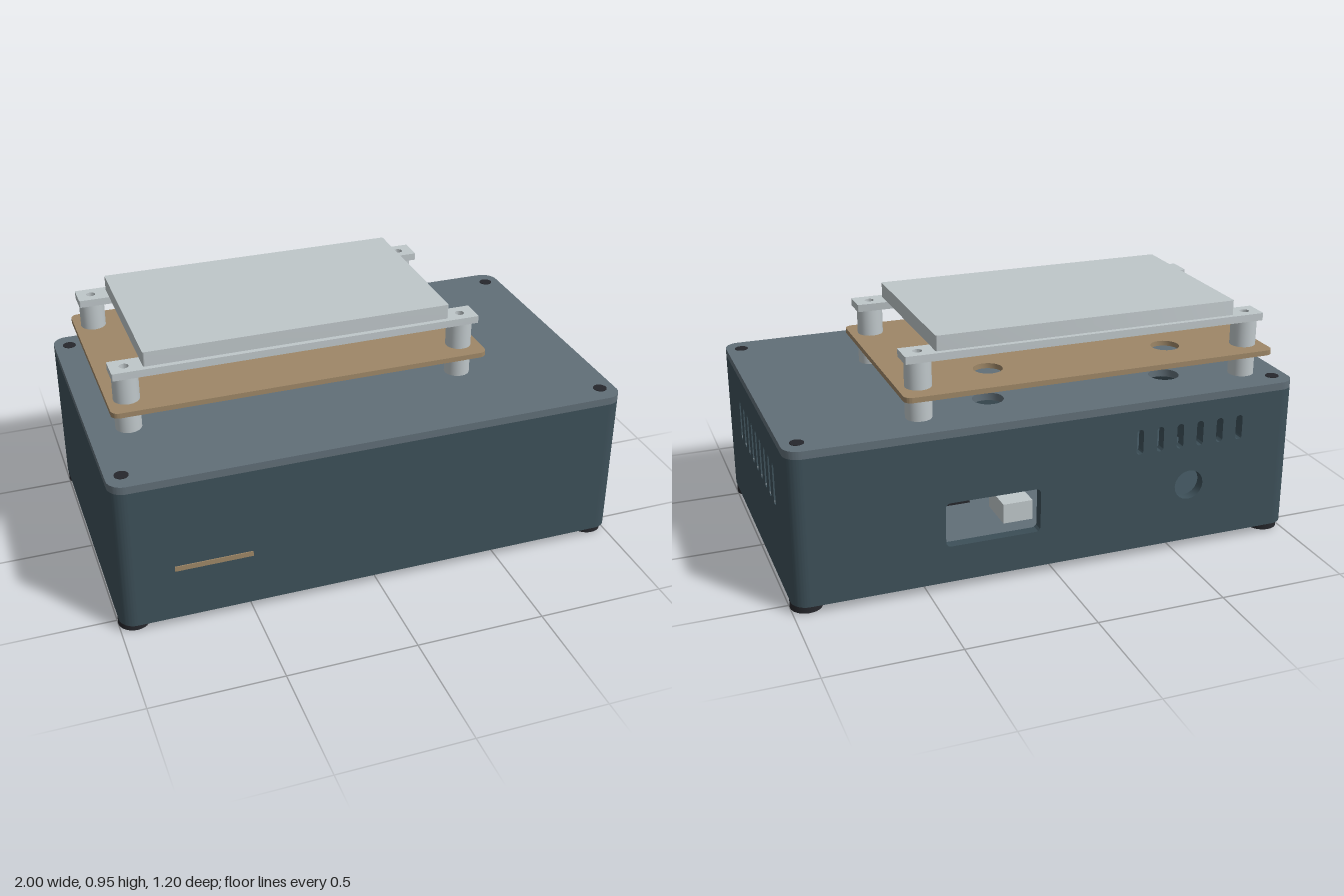
import * as THREE from 'three';
import { toCreasedNormals } from 'three/addons/utils/BufferGeometryUtils.js';

const mat = (name, color) => Object.assign(new THREE.MeshStandardMaterial({ color }), { name });

// Closed rounded rectangle, used both as outline and as hole
function roundRect(x0, y0, x1, y1, r, Type = THREE.Shape) {
  const s = new Type();
  s.moveTo(x0 + r, y0);
  s.lineTo(x1 - r, y0);
  s.absarc(x1 - r, y0 + r, r, -Math.PI / 2, 0, false);
  s.lineTo(x1, y1 - r);
  s.absarc(x1 - r, y1 - r, r, 0, Math.PI / 2, false);
  s.lineTo(x0 + r, y1);
  s.absarc(x0 + r, y1 - r, r, Math.PI / 2, Math.PI, false);
  s.lineTo(x0, y0 + r);
  s.absarc(x0 + r, y0 + r, r, Math.PI, Math.PI * 1.5, false);
  return s;
}

function roundHole(x, y, r) {
  const p = new THREE.Path();
  p.absarc(x, y, r, 0, Math.PI * 2, false);
  return p;
}

const slot = (u, y0, y1, w) => roundRect(u - w / 2, y0, u + w / 2, y1, w * 0.499, THREE.Path);

function extrude(shape, depth) {
  return new THREE.ExtrudeGeometry(shape, { depth, bevelEnabled: false, curveSegments: 10 });
}

export function createModel() {
  const model = new THREE.Group();
  model.name = 'deviceEnclosure';
  const body = mat('slate body', 0x3d5059);
  const grey = mat('grey lid', 0x616f78);
  const silver = mat('silver', 0xbfc7ca);
  const tan = mat('tan board', 0x9e8767);
  const dark = mat('dark rubber', 0x26272c);

  function add(name, geometry, material, x = 0, y = 0, z = 0) {
    const mesh = new THREE.Mesh(toCreasedNormals(geometry, 0.6), material);
    mesh.name = name;
    mesh.position.set(x, y, z);
    model.add(mesh);
    return mesh;
  }
  // Horizontal slab from a plan shape whose second coordinate is -z
  const slab = (name, shape, y0, y1, material) =>
    add(name, extrude(shape, y1 - y0).rotateX(-Math.PI / 2), material, 0, y0, 0);
  const disc = (name, x, y, z, r, h, material) =>
    add(name, new THREE.CylinderGeometry(r, r, h, 28), material, x, y, z);
  const box = (name, x0, x1, y0, y1, z0, z1, material) =>
    add(name, new THREE.BoxGeometry(x1 - x0, y1 - y0, z1 - z0), material,
      (x0 + x1) / 2, (y0 + y1) / 2, (z0 + z1) / 2);

  // Hollow case: four walls, rounded corners and a floor
  const Y0 = 0.035, Y1 = 0.61, T = 0.04, R = 0.06;
  function wallShape(half, holes = []) {
    const s = new THREE.Shape();
    s.moveTo(-half, Y0);
    s.lineTo(half, Y0);
    s.lineTo(half, Y1);
    s.lineTo(-half, Y1);
    s.closePath();
    s.holes.push(...holes);
    return s;
  }
  const backHoles = [
    roundRect(0.06, 0.18, 0.43, 0.355, 0.02, THREE.Path),
    roundHole(-0.555, 0.27, 0.06),
  ];
  for (let i = 0; i < 6; i++) backHoles.push(slot(-0.34 - i * 0.084, 0.43, 0.53, 0.028));
  const sideHoles = [];
  for (let i = 0; i < 9; i++) sideHoles.push(slot(-0.28 + i * 0.08, 0.34, 0.505, 0.032));

  add('frontWall', extrude(wallShape(1 - R), T), body, 0, 0, 0.6 - T);
  add('backWall', extrude(wallShape(1 - R, backHoles), T), body, 0, 0, -0.6);
  add('ventedSideWall', extrude(wallShape(0.6 - R, sideHoles), T).rotateY(Math.PI / 2), body, 1 - T);
  add('plainSideWall', extrude(wallShape(0.6 - R), T).rotateY(Math.PI / 2), body, -1);

  for (let i = 0; i < 4; i++) {
    const sx = i === 0 || i === 3 ? 1 : -1;
    const sy = i < 2 ? 1 : -1;
    const a = i * Math.PI / 2, b = a + Math.PI / 2;
    const cx = sx * (1 - R), cy = sy * (0.6 - R);
    const s = new THREE.Shape();
    s.absarc(cx, cy, R, a, b, false);
    s.absarc(cx, cy, R - T, b, a, true);
    s.closePath();
    slab('caseCorner', s, Y0, Y1, body);
  }
  slab('caseFloor', roundRect(-0.96, -0.56, 0.96, 0.56, 0.02), Y0, 0.07, body);

  // Lid with two cable openings
  const cableHoles = [-0.55, 0.18];
  const lid = roundRect(-1, -0.6, 1, 0.6, R);
  cableHoles.forEach((x) => lid.holes.push(roundHole(x, 0.36, 0.06)));
  slab('lid', lid, Y1, 0.64, grey);

  // Feet and lid screws
  for (const x of [-0.94, 0.94]) {
    for (const z of [-0.52, 0.52]) {
      disc('foot', x, 0.02, z, 0.06, 0.04, dark);
      disc('lidScrew', x, 0.639, z, 0.026, 0.006, dark);
    }
  }

  // Indicator strip on the front
  box('indicatorStrip', -0.79, -0.495, 0.245, 0.265, 0.598, 0.604, tan);

  // Inner circuit board on posts, with base screws below
  for (const x of [-0.06, 0.82]) {
    for (const z of [-0.47, 0.16]) {
      disc('innerPost', x, 0.095, z, 0.035, 0.05, silver);
      disc('baseScrew', x, 0.034, z, 0.022, 0.006, grey);
    }
  }
  box('innerBoard', -0.11, 0.87, 0.12, 0.14, -0.52, 0.21, grey);
  box('innerPort', 0.02, 0.14, 0.14, 0.22, -0.42, -0.26, silver);
  box('innerChip', 0.2, 0.32, 0.14, 0.2, -0.2, -0.08, dark);

  // Raised board
  const board = roundRect(-0.92, -0.305, 0.555, 0.55, 0.03);
  cableHoles.forEach((x) => board.holes.push(roundHole(x, 0.36, 0.056)));
  slab('raisedBoard', board, 0.74, 0.76, tan);

  // Hollow standoffs, rails and the display panel on top
  const postX = [-0.845, 0.475];
  for (const z of [-0.44, 0.2]) {
    const rail = roundRect(-0.9, -z - 0.05, 0.535, -z + 0.05, 0.004);
    for (const x of postX) {
      rail.holes.push(roundHole(x, -z, 0.018));
      const post = new THREE.Shape();
      post.absarc(x, -z, 0.05, 0, Math.PI * 2, false);
      post.holes.push(roundHole(x, -z, 0.018));
      slab('standoff', post, 0.64, 0.863, silver);
    }
    slab('rail', rail, 0.863, 0.892, silver);
  }
  slab('displayPanel', roundRect(-0.78, -0.23, 0.415, 0.47, 0.006), 0.892, 0.95, silver);

  return model;
}
